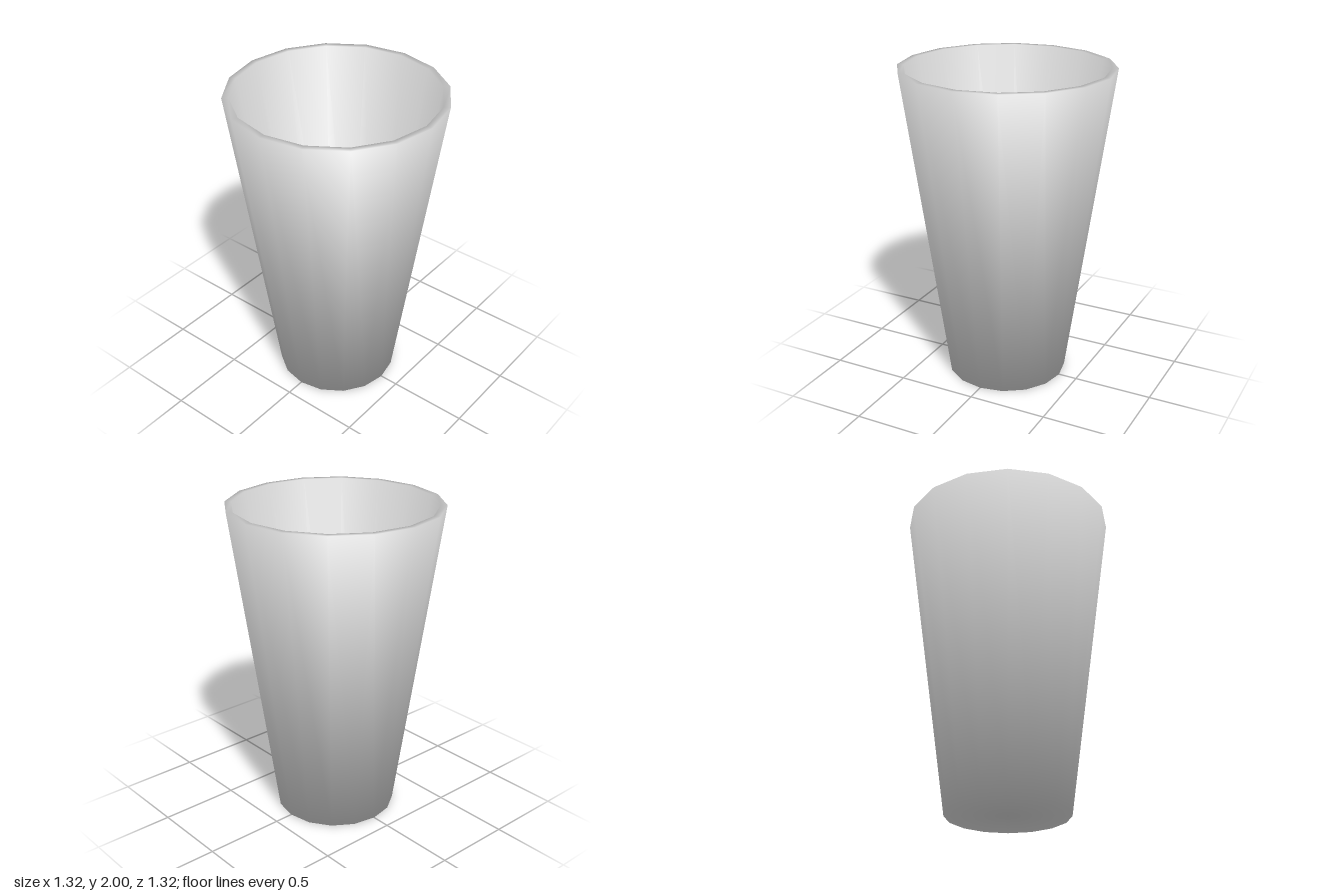
import * as THREE from 'three';

const SIDES = 16;

// Unit normal of a profile segment, to the right of its direction of travel
function segmentNormal(a, b) {
  return new THREE.Vector2(b.y - a.y, a.x - b.x).normalize();
}

// Lathe whose normals blend neighbouring segments equally, whatever their length
function softLathe(profile, sides) {
  const geometry = new THREE.LatheGeometry(profile, sides);
  const last = profile.length - 1;
  const blended = profile.map((p, j) => {
    const n = new THREE.Vector2();
    if (j > 0) n.add(segmentNormal(profile[j - 1], p));
    if (j < last) n.add(segmentNormal(p, profile[j + 1]));
    return n.normalize();
  });
  const normal = geometry.attributes.normal;
  for (let i = 0; i <= sides; i++) {
    const phi = (i / sides) * Math.PI * 2;
    blended.forEach((n, j) => {
      normal.setXYZ(i * profile.length + j, n.x * Math.sin(phi), n.y, n.x * Math.cos(phi));
    });
  }
  return geometry;
}

export function createModel() {
  const group = new THREE.Group();
  group.name = 'tumbler';

  // Base, outer wall, rim, inner wall and inner floor in one closed profile
  const profile = [
    [0, 0], [0.38, 0], [0.66, 2], [0.62, 2], [0.35, 0.05], [0, 0.05],
  ].map(([r, y]) => new THREE.Vector2(r, y));

  const cup = new THREE.Mesh(
    softLathe(profile, SIDES),
    new THREE.MeshStandardMaterial({ color: 0xcccccc }),
  );
  cup.name = 'cup';
  group.add(cup);
  return group;
}
